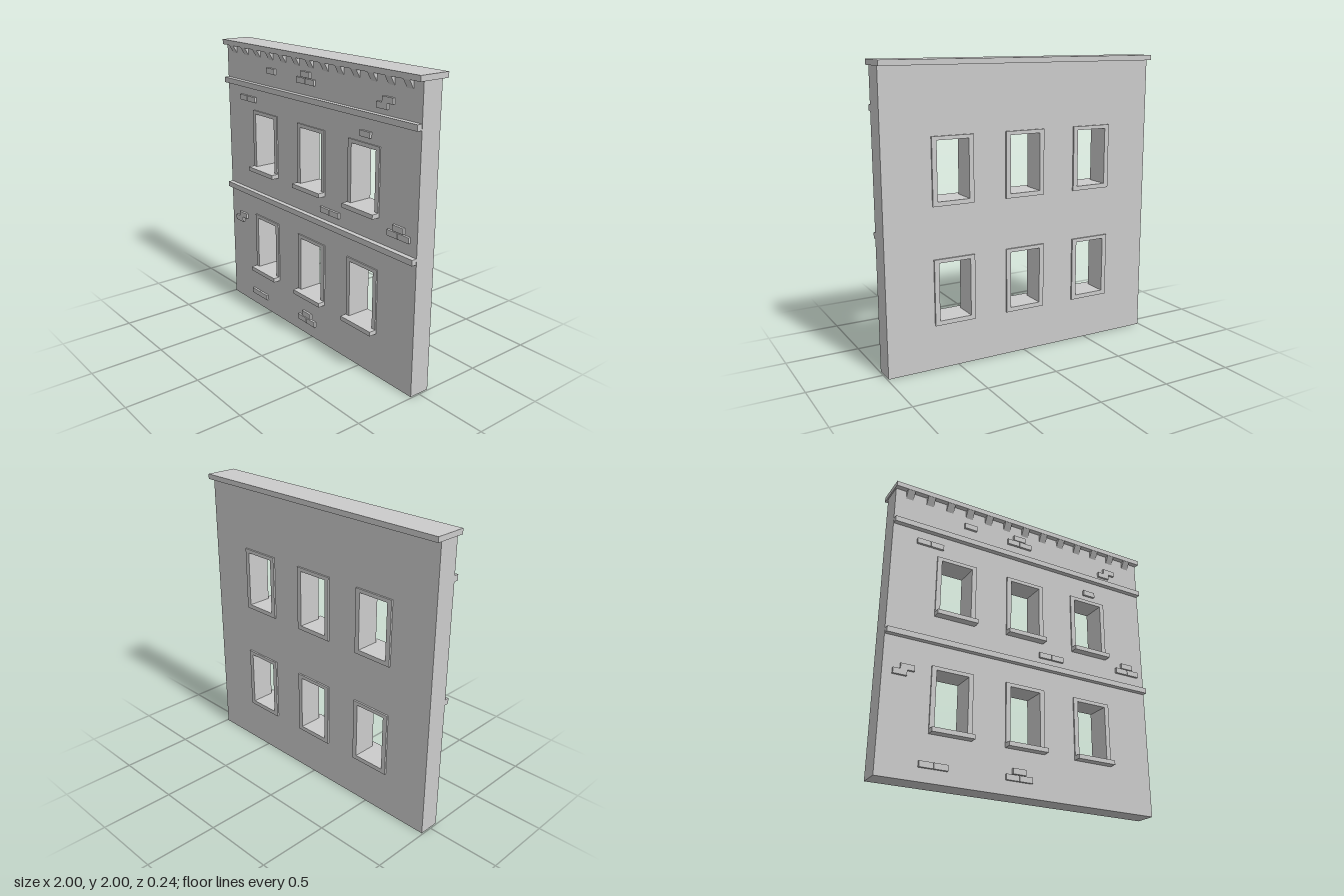
import * as THREE from 'three';

const material = new THREE.MeshStandardMaterial({ color: 0xcccccc, flatShading: true });
const FRONT = 0.065, BACK = -0.08;
const columns = [-0.527, -0.003, 0.519];
const rows = [0.30, 1.088]; // underside of each row of windows
const OPEN_W = 0.222, OPEN_H = 0.388, FRAME_W = 0.288, FRAME_H = 0.443, SILL = 0.03;

export function createModel() {
  const model = new THREE.Group();

  const add = (name, geometry) => {
    const mesh = new THREE.Mesh(geometry, material);
    mesh.name = name;
    model.add(mesh);
    return mesh;
  };
  // Box given by its minimum and maximum on each axis
  const box = (name, x0, x1, y0, y1, z0, z1) =>
    add(name, new THREE.BoxGeometry(x1 - x0, y1 - y0, z1 - z0))
      .position.set((x0 + x1) / 2, (y0 + y1) / 2, (z0 + z1) / 2);
  const rect = (Type, x0, x1, y0, y1) => new Type([
    new THREE.Vector2(x0, y0), new THREE.Vector2(x1, y0),
    new THREE.Vector2(x1, y1), new THREE.Vector2(x0, y1),
  ]);
  const slab = (name, shape, z0, z1) => {
    const g = new THREE.ExtrudeGeometry(shape, { depth: z1 - z0, bevelEnabled: false });
    add(name, g.translate(0, 0, z0));
  };
  const opening = (x, y) =>
    rect(THREE.Path, x - OPEN_W / 2, x + OPEN_W / 2, y + SILL, y + SILL + OPEN_H);

  // Wall pierced by six windows
  const wall = rect(THREE.Shape, -0.992, 0.992, 0, 1.967);
  for (const y of rows) for (const x of columns) wall.holes.push(opening(x, y));
  slab('wall', wall, BACK, FRONT);

  // Window surrounds on both faces, with a projecting sill in front
  for (const y of rows) for (const x of columns) {
    const x0 = x - FRAME_W / 2, x1 = x + FRAME_W / 2;
    const frame = rect(THREE.Shape, x0, x1, y, y + FRAME_H);
    frame.holes.push(opening(x, y));
    slab('frontWindowFrame', frame, FRONT, 0.074);
    slab('backWindowFrame', frame, -0.092, BACK);
    box('windowSill', x0, x1, y, y + SILL, FRONT, 0.12);
  }

  // Horizontal string courses and the cornice
  for (const y of [0.888, 1.69]) box('stringCourse', -0.99, 0.99, y, y + 0.038, FRONT, 0.1);
  box('cornice', -1, 1, 1.965, 2, -0.12, 0.1);

  // Wedge-shaped corbels under the cornice
  const wedge = new THREE.Shape([
    new THREE.Vector2(FRONT, 1.91), new THREE.Vector2(0.098, 1.965), new THREE.Vector2(FRONT, 1.965),
  ]);
  const corbel = new THREE.ExtrudeGeometry(wedge, { depth: 0.052, bevelEnabled: false })
    .translate(0, 0, -0.026).rotateY(-Math.PI / 2);
  for (let i = 0; i < 13; i++) add('corbel', corbel).position.x = -0.892 + i * 0.1484;

  // Raised bricks: single, pair, pyramid of three, and stepped pair
  const brick = (x, y) => box('brick', x - 0.046, x + 0.046, y - 0.019, y + 0.019, FRONT, 0.081);
  const pair = (x, y) => { brick(x - 0.048, y); brick(x + 0.048, y); };
  const pyramid = (x, y) => { pair(x, y); brick(x, y + 0.043); };
  const stepped = (x, y) => { brick(x - 0.024, y - 0.019); brick(x + 0.024, y + 0.019); };
  brick(-0.437, 1.837);
  brick(0.536, 1.586);
  pair(-0.727, 1.606);
  pair(0.201, 0.996);
  pair(-0.632, 0.105);
  pyramid(-0.05, 1.822);
  pyramid(-0.05, 0.112);
  pyramid(0.842, 1.025);
  stepped(0.7, 1.802);
  stepped(-0.857, 0.673);

  return model;
}
